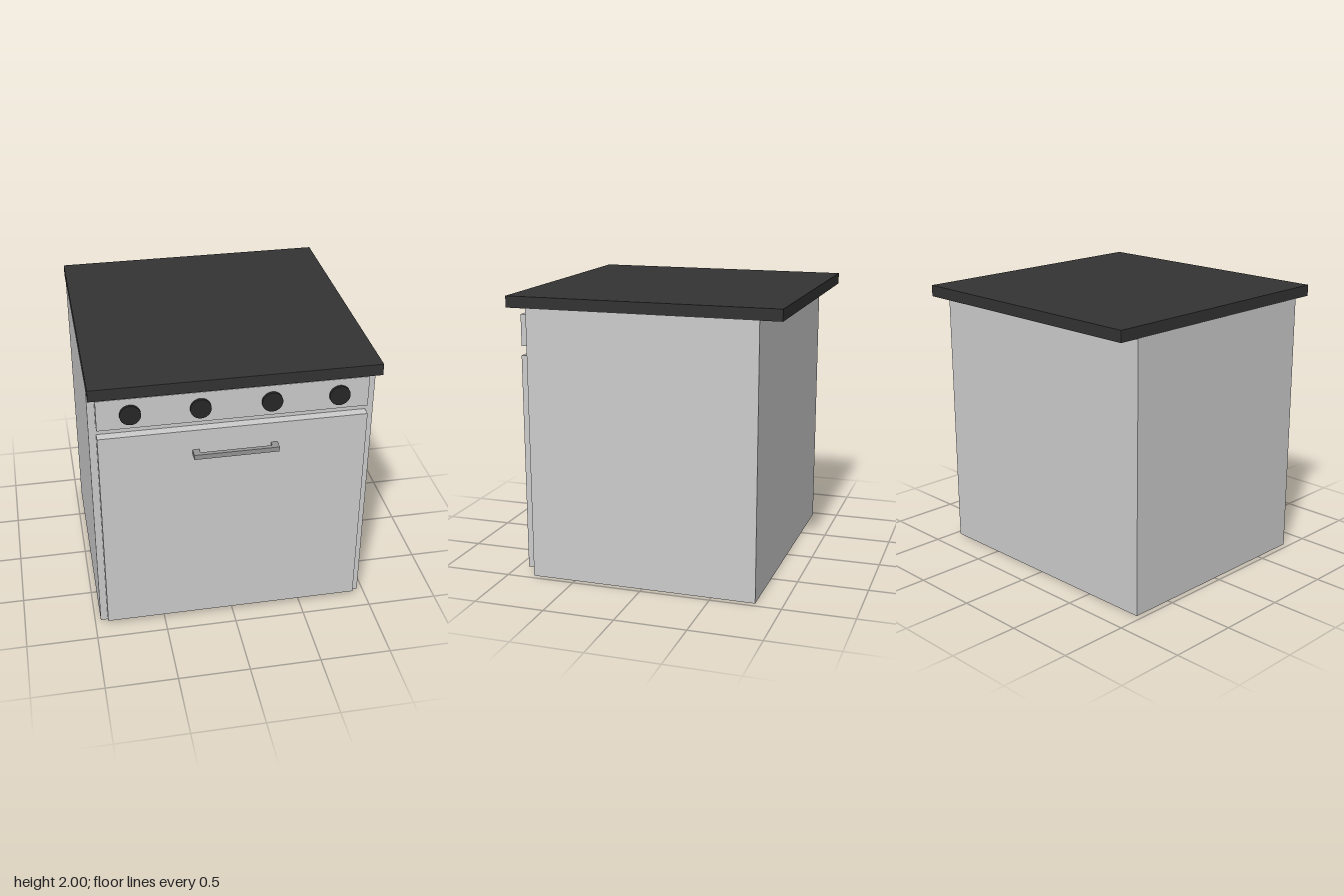
import * as THREE from 'three';

const material = (color) => new THREE.MeshStandardMaterial({ color });

export function createModel() {
  const group = new THREE.Group();
  group.name = 'oven';
  const grey = material(0xcccccc);
  const steel = material(0x959595);
  const topBlack = material(0x333333);
  const knobBlack = material(0x272727);

  // Box given by its minimum and maximum corners
  function box(name, [x0, y0, z0], [x1, y1, z1], mat, parent = group) {
    const mesh = new THREE.Mesh(new THREE.BoxGeometry(x1 - x0, y1 - y0, z1 - z0), mat);
    mesh.position.set((x0 + x1) / 2, (y0 + y1) / 2, (z0 + z1) / 2);
    mesh.name = name;
    parent.add(mesh);
  }

  // Cabinet, overhanging top and front panels
  box('body', [-0.96, 0, -0.81], [0.96, 1.92, 0.815], grey);
  box('cooktop', [-0.96, 1.92, -0.96], [0.96, 2, 0.96], topBlack);
  box('controlPanel', [-0.91, 1.65, 0.815], [0.9, 1.87, 0.88], grey);
  box('door', [-0.91, 0.04, 0.815], [0.905, 1.585, 0.88], grey);

  // Control knobs
  const knobGeometry = new THREE.CylinderGeometry(0.07, 0.07, 0.02, 32).rotateX(Math.PI / 2);
  [-0.69, -0.23, 0.245, 0.7].forEach((x, i) => {
    const knob = new THREE.Mesh(knobGeometry, knobBlack);
    knob.position.set(x, 1.755, 0.89);
    knob.name = `knob${i + 1}`;
    group.add(knob);
  });

  // Door handle: a bar on two end posts
  const handle = new THREE.Group();
  handle.name = 'handle';
  group.add(handle);
  box('handleBar', [-0.285, 1.4, 0.92], [0.29, 1.435, 0.95], steel, handle);
  box('handlePostRight', [-0.285, 1.4, 0.88], [-0.24, 1.435, 0.92], steel, handle);
  box('handlePostLeft', [0.245, 1.4, 0.88], [0.29, 1.435, 0.92], steel, handle);

  return group;
}
